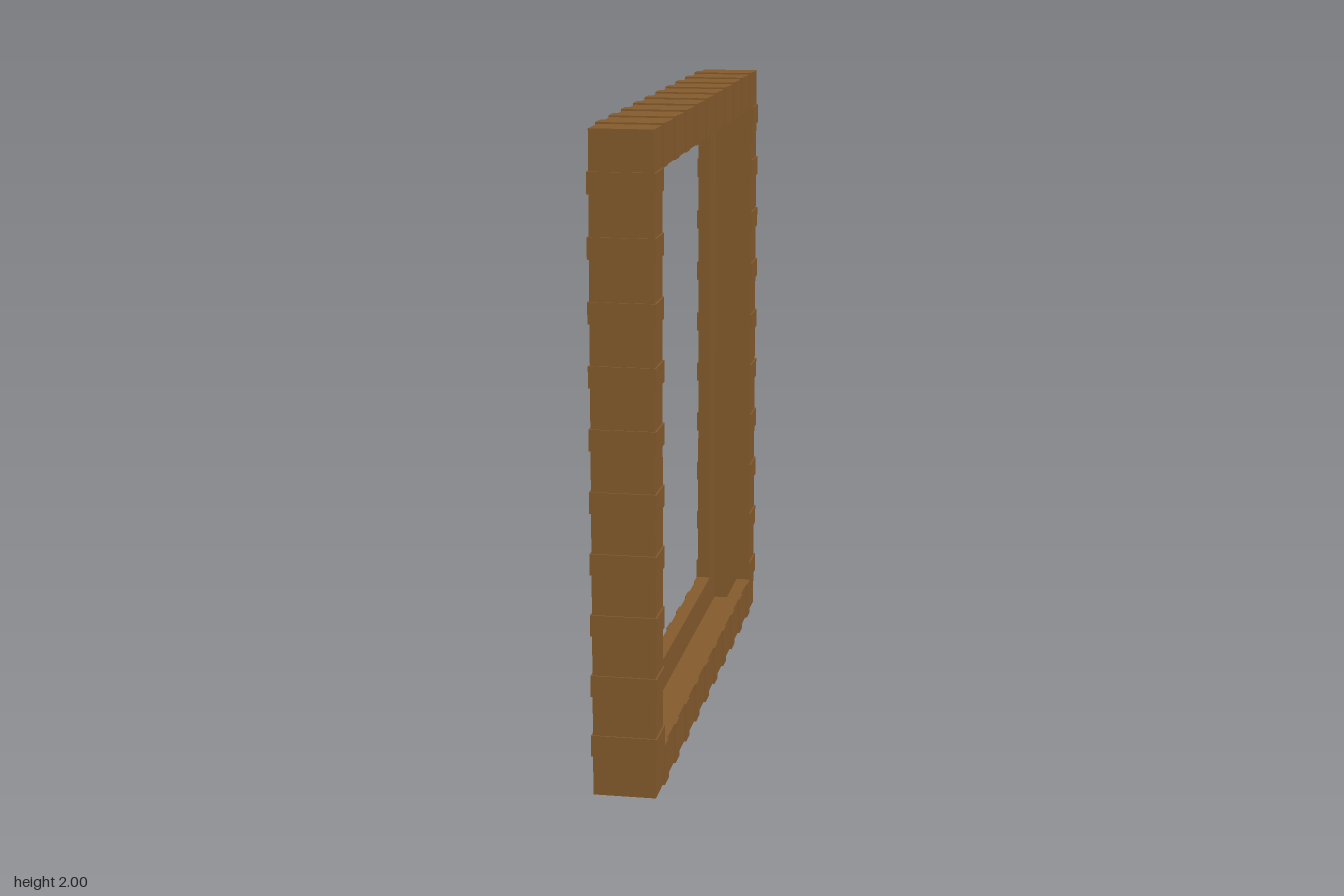
import * as THREE from 'three';

const OUTER = 0.995;   // half size of the frame body
const INNER = 0.873;   // half size of the opening
const HALF = 0.095;    // half depth of the frame body
const GROOVE = 0.05;   // half width of the inner groove
const RAISE = 0.005;   // height of the bands above the body

function square(PathType, r) {
  const p = new PathType();
  p.moveTo(-r, -r);
  p.lineTo(r, -r);
  p.lineTo(r, r);
  p.lineTo(-r, r);
  p.closePath();
  return p;
}

// Square ring standing in the y-z plane, from x0 to x1
function ring(name, outer, inner, x0, x1, material) {
  const shape = square(THREE.Shape, outer);
  shape.holes.push(square(THREE.Path, inner));
  const geometry = new THREE.ExtrudeGeometry(shape, { depth: x1 - x0, bevelEnabled: false });
  geometry.rotateY(Math.PI / 2);
  geometry.translate(x0, 0, 0);
  const mesh = new THREE.Mesh(geometry, material);
  mesh.name = name;
  return mesh;
}

function plate(name, w, h, d, x, y, z, material) {
  const mesh = new THREE.Mesh(new THREE.BoxGeometry(w, h, d), material);
  mesh.name = name;
  mesh.position.set(x, y, z);
  return mesh;
}

export function createModel() {
  const wood = new THREE.MeshStandardMaterial({ color: 0x845a2c });
  wood.name = 'brown wood';

  const model = new THREE.Group();
  model.name = 'woodenFrame';
  const frame = new THREE.Group();
  frame.name = 'frame';
  frame.position.y = 1;
  model.add(frame);

  // Two side rings with a deep groove between them, closed by the outer wall
  frame.add(ring('leftRing', OUTER, INNER, GROOVE, HALF, wood));
  frame.add(ring('rightRing', OUTER, INNER, -HALF, -GROOVE, wood));
  frame.add(ring('outerWall', OUTER, 0.98, -GROOVE, GROOVE, wood));

  // Ten shallow bands wrap three faces of each beam
  const count = 10, width = 0.065, pitch = 0.1868;
  const top = OUTER + RAISE, side = HALF + RAISE;
  for (let s = 0; s < 4; s++) {
    const beam = new THREE.Group();
    beam.name = ['topBands', 'backBands', 'bottomBands', 'frontBands'][s];
    beam.rotation.x = -s * Math.PI / 2;
    for (let i = 0; i < count; i++) {
      const z = (i - (count - 1) / 2) * pitch;
      beam.add(plate('bandOuterFace', 2 * side, 0.009, width, 0, top - 0.0045, z, wood));
      for (const m of [1, -1]) {
        beam.add(plate('bandSideFace', 0.009, top - INNER - 0.009, width,
          m * (side - 0.0045), (top - 0.009 + INNER) / 2, z, wood));
      }
    }
    frame.add(beam);
  }
  return model;
}
